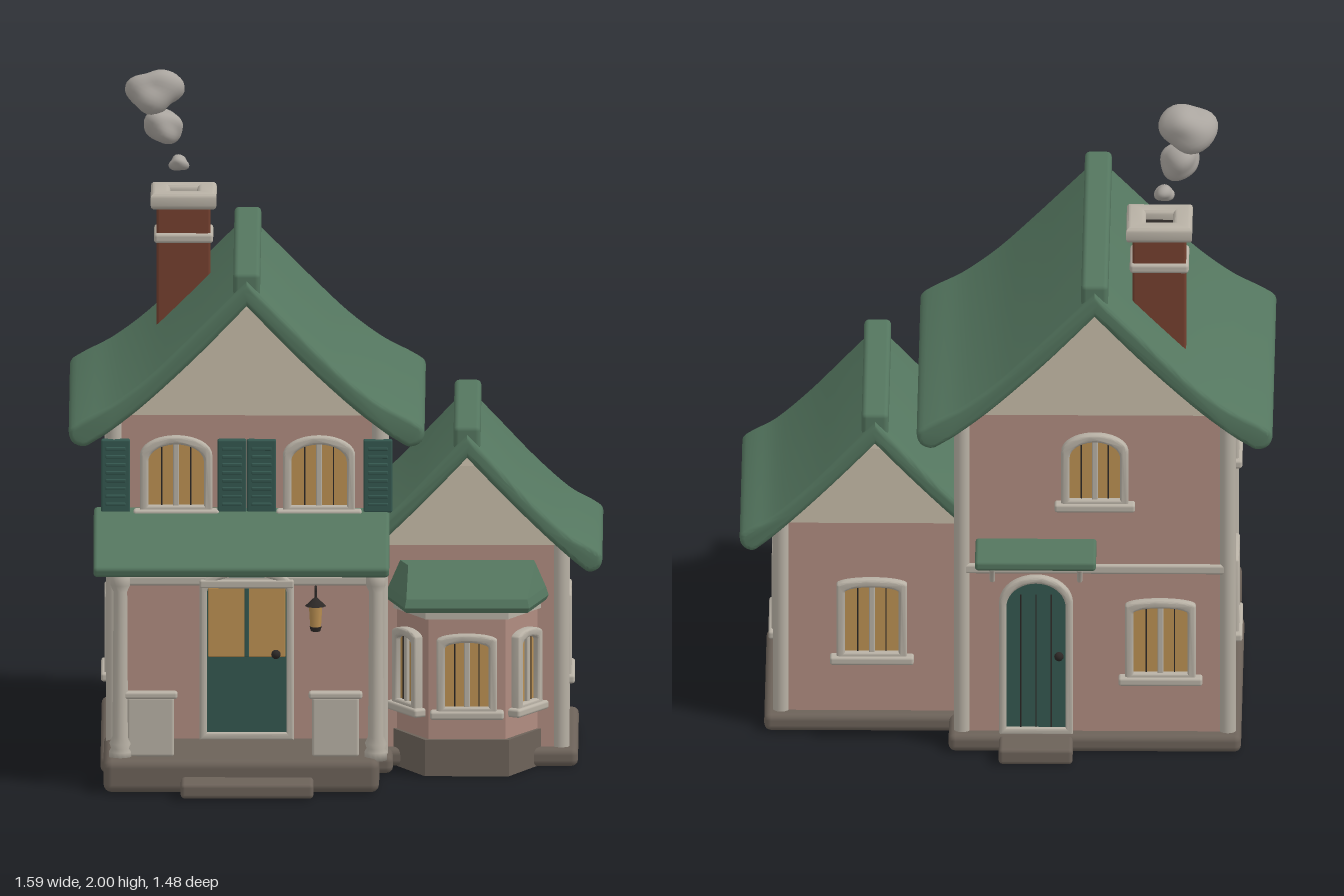
import * as THREE from 'three';
import { mergeVertices, toCreasedNormals } from 'three/addons/utils/BufferGeometryUtils.js';
import { RoundedBoxGeometry } from 'three/addons/geometries/RoundedBoxGeometry.js';

const mat = (color) => new THREE.MeshStandardMaterial({ color });
const M = {
  wall: mat(0xb08c80), trim: mat(0xb8b1a5), siding: mat(0xbab09e), roof: mat(0x54765f), teal: mat(0x34574f),
  glass: mat(0xbb9052), stone: mat(0x6c6259), brick: mat(0x74402f), dark: mat(0x2c2826), smoke: mat(0xaaa59f),
};
const V2 = (x, y) => new THREE.Vector2(x, y);

function add(parent, name, geo, material, x = 0, y = 0, z = 0) {
  const m = new THREE.Mesh(geo, material);
  m.name = name;
  m.position.set(x, y, z);
  parent.add(m);
  return m;
}
// soft-edged block given by its limits on each axis
function block(parent, name, material, [x0, x1], [y0, y1], [z0, z1], r = 0.008) {
  return add(parent, name, new RoundedBoxGeometry(x1 - x0, y1 - y0, z1 - z0, 2, r), material,
    (x0 + x1) / 2, (y0 + y1) / 2, (z0 + z1) / 2);
}
function extrude(shape, depth, bevel = 0) {
  const g = new THREE.ExtrudeGeometry(shape, {
    depth: depth - 2 * bevel, curveSegments: 10, bevelEnabled: bevel > 0,
    bevelThickness: bevel, bevelSize: bevel, bevelOffset: -bevel, bevelSegments: 3,
  });
  g.translate(0, 0, bevel);
  return toCreasedNormals(g, 0.6);
}
// outline with an arched top, standing on y = y0
function arch(w, y0, h, rise, Type = THREE.Shape) {
  const s = new Type();
  s.moveTo(-w / 2, y0).lineTo(w / 2, y0).lineTo(w / 2, h - rise);
  s.absellipse(0, h - rise, w / 2, rise, 0, Math.PI, false, 0);
  s.closePath();
  return s;
}
function frame(parent, w, h, rise, t) {
  const s = arch(w, 0, h, rise);
  s.holes.push(arch(w - 2 * t, t, h - t, rise * 0.85, THREE.Path));
  add(parent, 'frame', extrude(s, 0.035, 0.007), M.trim, 0, 0, -0.01);
}
function opening(parent, name, x, y, z, ry) {
  const g = new THREE.Group();
  g.name = name;
  g.position.set(x, y, z);
  g.rotation.y = ry;
  parent.add(g);
  return g;
}
function addWindow(parent, name, x, y, z, ry, w = 0.21, h = 0.26, rise = 0.02) {
  const g = opening(parent, name, x, y, z, ry);
  frame(g, w, h, rise, 0.025);
  add(g, 'glass', extrude(arch(w - 0.04, 0.02, h - 0.02, rise * 0.85), 0.01), M.glass, 0, 0, -0.004);
  block(g, 'centreBar', M.trim, [-0.009, 0.009], [0.01, h - 0.015], [-0.01, 0.017], 0.004);
  for (const s of [-1, 1]) block(g, 'paneBar', M.dark, [s * w / 5 - 0.002, s * w / 5 + 0.002], [0.02, h - 0.025], [-0.01, 0.009], 0.001);
  block(g, 'sill', M.trim, [-w / 2 - 0.02, w / 2 + 0.02], [-0.012, 0.014], [-0.01, 0.035]);
}
function addDoor(parent, name, x, y, z, ry, w, h, rise) {
  const g = opening(parent, name, x, y, z, ry);
  frame(g, w, h, rise, 0.022);
  add(g, 'panel', extrude(arch(w - 0.03, 0, h - 0.015, rise * 0.85), 0.014), M.teal, 0, 0, -0.003);
  add(g, 'knob', new THREE.SphereGeometry(0.014, 12, 8), M.dark, w * 0.31, h * 0.5, 0.025);
  return g;
}
function interp(v, pts, a, b) {
  for (let i = 1; i < pts.length; i++) {
    const p = pts[i - 1], q = pts[i];
    if ((v - p[a]) * (v - q[a]) <= 0) return p[b] + (q[b] - p[b]) * (v - p[a]) / (q[a] - p[a]);
  }
  return 0;
}
// gabled volume: walls, swept roof, ridge cap, corner posts, clapboards
function gabled(parent, name, { cx, hw, z, roofZ, outer, tip, inner, boards, postX }) {
  const g = new THREE.Group();
  g.name = name;
  parent.add(g);
  const under = inner.filter((p) => p[0] < hw).concat([[hw, interp(hw, inner, 0, 1)]]).map((p) => V2(p[0], p[1] + 0.012));
  const flip = (pts) => pts.slice().reverse().map((p) => V2(-p.x, p.y));
  const side = [...under, V2(hw, 0.03)];
  add(g, 'walls', extrude(new THREE.Shape([...side, ...flip(side).slice(0, -1)]), z[1] - z[0]), M.wall, cx, 0, z[0]);

  const half = new THREE.SplineCurve([...outer, ...tip, ...inner.slice().reverse()].map((p) => V2(...p))).getPoints(48);
  const mirrored = flip(half);
  add(g, 'roof', extrude(new THREE.Shape([...half, ...mirrored.slice(1, -1)]), roofZ[1] - roofZ[0], 0.014), M.roof, cx, 0, roofZ[0]);
  const top = outer[0][1];
  block(g, 'ridgeCap', M.roof, [cx - 0.04, cx + 0.04], [top - 0.05, top + 0.025], [roofZ[0] + 0.015, roofZ[1] - 0.015], 0.015);

  const eave = under[under.length - 1].y;
  for (const x of postX) for (const pz of [z[0] + 0.01, z[1] - 0.01])
    add(g, 'cornerPost', new THREE.CylinderGeometry(0.025, 0.025, eave - 0.03, 14), M.trim, x, (eave + 0.03) / 2, pz);

  const peak = inner[0][1];
  for (let y = boards; y < peak - 0.01; y += 0.08) {
    const y1 = Math.min(y + 0.078, peak);
    const a = Math.min(hw, interp(y, inner, 1, 0)) + 0.01, b = interp(y1, inner, 1, 0) + 0.01;
    const geo = extrude(new THREE.Shape([V2(-a, y), V2(a, y), V2(b, y1), V2(-b, y1)]), 0.012);
    const p = geo.attributes.position;
    for (let i = 0; i < p.count; i++) if (p.getZ(i) > 0.005 && p.getY(i) < y + 0.001) p.setZ(i, 0.024);
    geo.computeVertexNormals();
    add(g, 'clapboard', geo, M.siding, cx, 0, z[1]);
    add(g, 'clapboard', geo, M.siding, cx, 0, z[0]).rotation.y = Math.PI;
  }
}
// faceted solid from rings of [x, z] points at rising heights
function loft(rings) {
  const n = rings[0].pts.length, pos = [], idx = [];
  for (const { y, pts } of rings) for (const [x, z] of pts) pos.push(x, y, z);
  for (let r = 0; r < rings.length - 1; r++) for (let i = 0; i < n; i++) {
    const a = r * n + i, b = r * n + (i + 1) % n;
    idx.push(a, b, b + n, a, b + n, a + n);
  }
  const t = (rings.length - 1) * n;
  for (let i = 1; i < n - 1; i++) idx.push(0, i + 1, i, t, t + i, t + i + 1);
  const g = new THREE.BufferGeometry();
  g.setAttribute('position', new THREE.Float32BufferAttribute(pos, 3));
  g.setIndex(idx);
  const flat = g.toNonIndexed();
  flat.computeVertexNormals();
  return flat;
}

export function createModel() {
  const house = new THREE.Group();
  house.name = 'cottage';

  gabled(house, 'mainHouse', {
    cx: -0.265, hw: 0.4, z: [-0.56, 0.29], roofZ: [-0.66, 0.4], boards: 1.085, postX: [-0.66, 0.13],
    outer: [[0, 1.505], [0.1, 1.405], [0.2, 1.305], [0.3, 1.21], [0.4, 1.135], [0.485, 1.09]],
    tip: [[0.527, 1.06], [0.52, 1.02], [0.485, 1.005]],
    inner: [[0, 1.43], [0.15, 1.275], [0.3, 1.135], [0.4, 1.055], [0.45, 1.022]],
  });
  gabled(house, 'sideWing', {
    cx: 0.39, hw: 0.285, z: [-0.41, 0.18], roofZ: [-0.49, 0.27], boards: 0.67, postX: [0.67],
    outer: [[0, 1.015], [0.1, 0.91], [0.2, 0.805], [0.3, 0.715], [0.37, 0.675]],
    tip: [[0.401, 0.65], [0.395, 0.615], [0.365, 0.6]],
    inner: [[0, 0.945], [0.1, 0.84], [0.2, 0.74], [0.28, 0.665], [0.335, 0.618]],
  });
  block(house, 'trimBand', M.trim, [-0.675, 0.145], [0.565, 0.595], [-0.572, 0.302]);

  // foundations and steps
  block(house, 'mainFoundation', M.stone, [-0.7, 0.17], [0, 0.055], [-0.6, 0.33], 0.02);
  block(house, 'wingFoundation', M.stone, [0.08, 0.72], [0, 0.055], [-0.45, 0.22], 0.02);
  block(house, 'porchDeck', M.stone, [-0.69, 0.13], [0, 0.1], [0.2, 0.63], 0.025);
  block(house, 'frontStep', M.stone, [-0.46, -0.065], [0.005, 0.05], [0.55, 0.74], 0.012);
  block(house, 'backStep', M.stone, [-0.2, 0.02], [0, 0.05], [-0.695, -0.55], 0.012);

  // porch
  const porchRoof = add(house, 'porchRoof', new RoundedBoxGeometry(0.88, 0.034, 0.4, 2, 0.012), M.roof, -0.28, 0.73, 0.465);
  porchRoof.rotation.x = 0.289;
  const post = new THREE.LatheGeometry([[0, 0.09], [0.034, 0.09], [0.034, 0.115], [0.028, 0.125], [0.033, 0.14], [0.024, 0.16],
    [0.022, 0.4], [0.021, 0.6], [0.03, 0.62], [0.03, 0.645], [0.022, 0.655], [0.022, 0.7]].map((p) => V2(...p)), 14);
  for (const s of [-1, 1]) {
    add(house, 'porchPost', post, M.trim, -0.26 + s * 0.38, 0, 0.56);
    const x = -0.275 + s * 0.275;
    block(house, 'porchPanel', M.trim, [x - 0.07, x + 0.07], [0.1, 0.28], [0.55, 0.57]);
    block(house, 'porchRail', M.trim, [x - 0.08, x + 0.08], [0.275, 0.297], [0.543, 0.577]);
  }

  // doors
  const front = addDoor(house, 'frontDoor', -0.265, 0.1, 0.29, 0, 0.28, 0.52, 0.06);
  block(front, 'doorGlass', M.glass, [-0.115, 0.115], [0.25, 0.46], [0, 0.014], 0.003);
  block(front, 'glassBar', M.teal, [-0.007, 0.007], [0.25, 0.46], [0, 0.02], 0.003);
  block(front, 'lintel', M.trim, [-0.14, 0.14], [0.46, 0.485], [0, 0.028], 0.006);
  const back = addDoor(house, 'backDoor', -0.09, 0.05, -0.56, Math.PI, 0.22, 0.51, 0.09);
  for (const x of [-0.045, 0, 0.045]) block(back, 'plankGap', M.dark, [x - 0.002, x + 0.002], [0.01, 0.45], [0, 0.0125], 0.001);

  // canopy over the back door
  block(house, 'backCanopy', M.roof, [-0.27, 0.09], [0.645, 0.675], [-0.74, -0.55], 0.01);
  const brace = new THREE.QuadraticBezierCurve3(new THREE.Vector3(0, 0.54, -0.56), new THREE.Vector3(0, 0.62, -0.6), new THREE.Vector3(0, 0.645, -0.7));
  for (const x of [-0.22, 0.04]) {
    add(house, 'canopyBrace', new THREE.TubeGeometry(brace, 10, 0.008, 8), M.trim, x);
    block(house, 'canopyRail', M.trim, [x - 0.008, x + 0.008], [0.63, 0.648], [-0.71, -0.55], 0.004);
  }

  // windows and shutters
  for (const x of [-0.475, -0.05]) addWindow(house, 'upperFrontWindow', x, 0.785, 0.29, 0, 0.215, 0.235, 0.06);
  for (const x of [-0.655, -0.309, -0.221, 0.125]) {
    block(house, 'shutter', M.teal, [x - 0.043, x + 0.043], [0.79, 1.01], [0.29, 0.315], 0.005);
    for (let i = 0; i < 8; i++) block(house, 'slat', M.teal, [x - 0.03, x + 0.03], [0.81 + i * 0.024, 0.82 + i * 0.024], [0.305, 0.32], 0.003);
  }
  addWindow(house, 'upperBackWindow', -0.265, 0.785, -0.56, Math.PI, 0.2, 0.235, 0.06);
  addWindow(house, 'lowerBackWindow', -0.46, 0.225, -0.56, Math.PI);
  addWindow(house, 'wingBackWindow', 0.4, 0.225, -0.41, Math.PI);
  addWindow(house, 'wingSideWindow', 0.675, 0.225, -0.115, Math.PI / 2, 0.23, 0.27);
  addWindow(house, 'lowerSideWindow', -0.665, 0.225, -0.13, -Math.PI / 2);
  addWindow(house, 'upperSideWindow', -0.665, 0.785, -0.13, -Math.PI / 2, 0.21, 0.235);

  // bay window
  const bay = (b, f, zf, zb = 0.16) => [[0.39 - b, zb], [0.39 - f, zf], [0.39 + f, zf], [0.39 + b, zb]];
  add(house, 'bayBase', loft([{ y: 0, pts: bay(0.23, 0.125, 0.36) }, { y: 0.11, pts: bay(0.23, 0.125, 0.36) }]), M.stone);
  add(house, 'bayWalls', loft([{ y: 0.1, pts: bay(0.22, 0.115, 0.345) }, { y: 0.52, pts: bay(0.22, 0.115, 0.345) }]), M.wall);
  add(house, 'bayCornice', loft([{ y: 0.475, pts: bay(0.23, 0.123, 0.357) }, { y: 0.51, pts: bay(0.23, 0.123, 0.357) }]), M.trim);
  add(house, 'bayRoof', loft([{ y: 0.5, pts: bay(0.24, 0.18, 0.385) }, { y: 0.515, pts: bay(0.248, 0.185, 0.392) },
    { y: 0.54, pts: bay(0.24, 0.18, 0.382) }, { y: 0.62, pts: bay(0.205, 0.175, 0.26) }]), M.roof);
  addWindow(house, 'bayFrontWindow', 0.39, 0.185, 0.345, 0, 0.18, 0.245);
  for (const s of [-1, 1]) addWindow(house, 'baySideWindow', 0.39 + s * 0.17, 0.185, 0.255, s * 1.05, 0.14, 0.245);

  // lantern beside the front door
  const lantern = opening(house, 'lantern', -0.06, 0.49, 0.34, 0);
  add(lantern, 'lampGlass', new THREE.CylinderGeometry(0.02, 0.016, 0.065, 8), M.glass, 0, -0.01);
  add(lantern, 'lampFoot', new THREE.CylinderGeometry(0.018, 0.014, 0.014, 8), M.dark, 0, -0.047);
  add(lantern, 'lampCap', new THREE.ConeGeometry(0.032, 0.03, 8), M.dark, 0, 0.037);
  add(lantern, 'lampStem', new THREE.CylinderGeometry(0.004, 0.004, 0.03, 6), M.dark, 0, 0.06);
  block(lantern, 'lampArm', M.dark, [-0.004, 0.004], [0.066, 0.074], [-0.05, 0.004], 0.002);

  // chimney
  const cx = -0.455, cz = -0.37;
  block(house, 'chimney', M.brick, [cx - 0.08, cx + 0.08], [1.05, 1.605], [cz - 0.07, cz + 0.07], 0.008);
  block(house, 'chimneyBand', M.trim, [cx - 0.088, cx + 0.088], [1.485, 1.515], [cz - 0.08, cz + 0.08], 0.01);
  const ring = (w) => [V2(-w, -w), V2(w, -w), V2(w, w), V2(-w, w)];
  const capShape = new THREE.Shape(ring(0.098));
  capShape.holes.push(new THREE.Path(ring(0.04)));
  add(house, 'chimneyCap', extrude(capShape, 0.05, 0.014), M.trim, cx, 1.59, cz).rotation.x = -Math.PI / 2;
  block(house, 'flue', M.dark, [cx - 0.045, cx + 0.045], [1.59, 1.61], [cz - 0.045, cz + 0.045], 0.002);

  // smoke puffs
  [[-0.47, 1.713, -0.37, 0.03, 0.024], [-0.515, 1.825, -0.38, 0.062, 0.058], [-0.54, 1.93, -0.385, 0.08, 0.07]].forEach(([x, y, z, r, h], k) => {
    let geo = new THREE.IcosahedronGeometry(1, 5);
    geo.deleteAttribute('uv');
    geo.deleteAttribute('normal');
    geo = mergeVertices(geo);
    const p = geo.attributes.position, v = new THREE.Vector3();
    for (let i = 0; i < p.count; i++) {
      v.fromBufferAttribute(p, i);
      v.multiplyScalar(0.97 + 0.1 * Math.sin(3 * v.x + 2 * v.y + k * 2) + 0.07 * Math.sin(4 * v.z - 3 * v.y + k));
      p.setXYZ(i, v.x * r, v.y * h, v.z * r);
    }
    geo.computeVertexNormals();
    add(house, 'smokePuff', geo, M.smoke, x, y, z);
  });
  return house;
}
